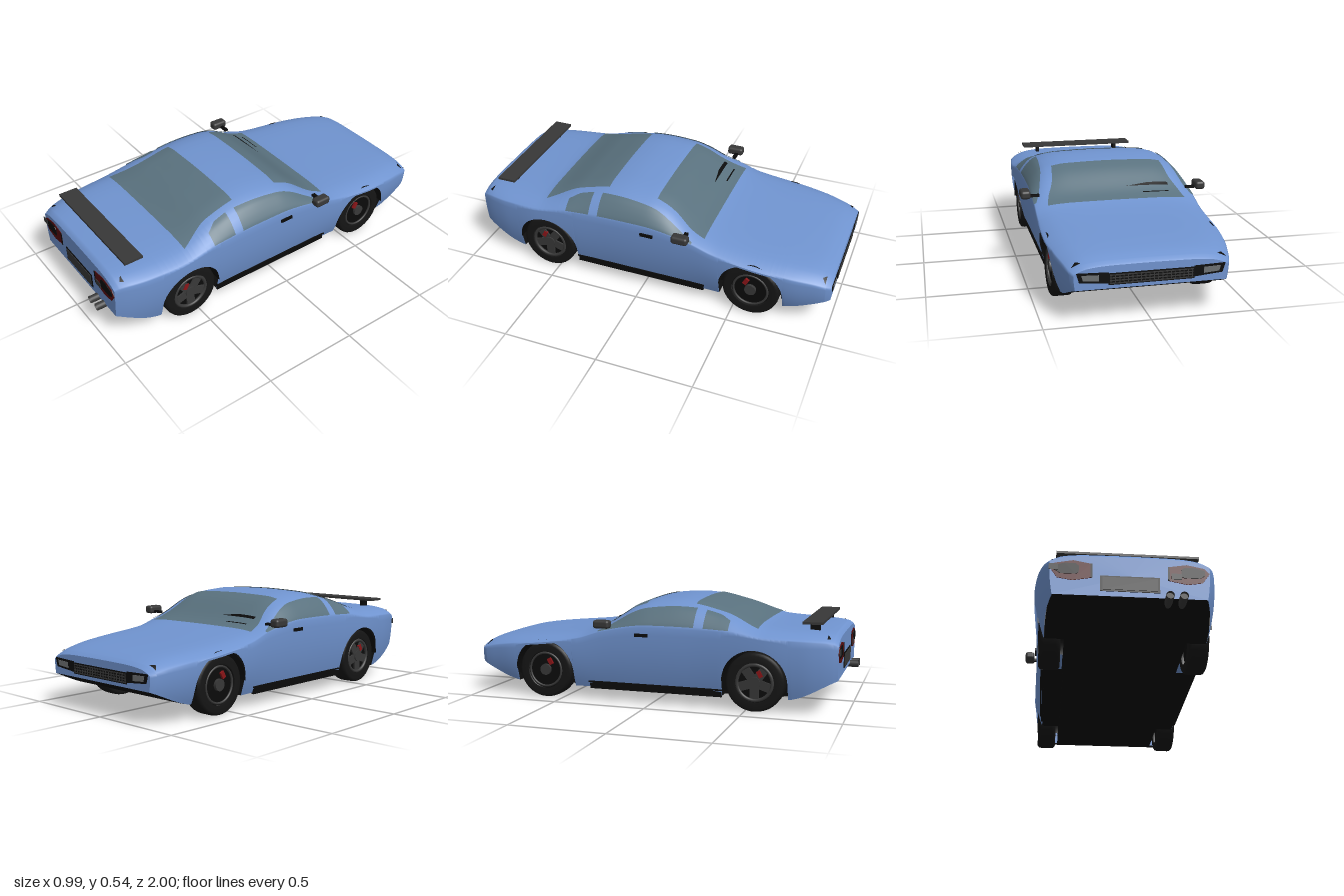
import * as THREE from 'three';
import { RoundedBoxGeometry } from 'three/addons/geometries/RoundedBoxGeometry.js';

const mat = (name, color) => new THREE.MeshStandardMaterial({ name, color, side: THREE.DoubleSide });

// Smooth interpolation through [t, value] pairs without overshoot
function curve(pts) {
  const n = pts.length, d = [], m = [];
  for (let i = 0; i < n - 1; i++) d.push((pts[i + 1][1] - pts[i][1]) / (pts[i + 1][0] - pts[i][0]));
  for (let i = 0; i < n; i++) {
    if (i === 0 || i === n - 1) m.push(d[i === 0 ? 0 : n - 2]);
    else m.push(d[i - 1] * d[i] <= 0 ? 0 : 2 * d[i - 1] * d[i] / (d[i - 1] + d[i]));
  }
  return (t) => {
    t = Math.min(Math.max(t, pts[0][0]), pts[n - 1][0]);
    let i = 0;
    while (i < n - 2 && t > pts[i + 1][0]) i++;
    const h = pts[i + 1][0] - pts[i][0], s = (t - pts[i][0]) / h, s2 = s * s, s3 = s2 * s;
    return (2 * s3 - 3 * s2 + 1) * pts[i][1] + (s3 - 2 * s2 + s) * h * m[i]
      + (3 * s2 - 2 * s3) * pts[i + 1][1] + (s3 - s2) * h * m[i + 1];
  };
}

// Surface through rows of [x, y, z] points
function loft(rows) {
  const c = rows[0].length, idx = [];
  for (let i = 0; i < rows.length - 1; i++) for (let j = 0; j < c - 1; j++) {
    const a = i * c + j, b = a + c;
    idx.push(a, b, a + 1, a + 1, b, b + 1);
  }
  const g = new THREE.BufferGeometry();
  g.setAttribute('position', new THREE.Float32BufferAttribute(rows.flat(2), 3));
  g.setIndex(idx);
  g.computeVertexNormals();
  return g;
}
const steps = (a, b, n) => Array.from({ length: n + 1 }, (_, i) => a + (b - a) * i / n);

// Body outline along z: roof line, half width, belt line, underside
const top = curve([[-1, .272], [-.985, .285], [-.93, .308], [-.85, .322], [-.4, .368], [-.29, .395], [-.1, .512],
  [-.02, .535], [.12, .545], [.2, .54], [.37, .5], [.6, .425], [.87, .41], [.935, .402], [.955, .383]]);
const width = curve([[-1, .355], [-.97, .375], [-.9, .395], [-.78, .42], [-.6, .435], [-.2, .43], [.2, .43],
  [.6, .44], [.78, .425], [.9, .395], [.955, .37]]);
const belt = curve([[-1, .24], [-.9, .265], [-.4, .33], [-.25, .375], [0, .405], [.4, .4], [.6, .375], [.9, .36], [.955, .345]]);
const base = curve([[-1, .17], [-.77, .08], [-.7, .07], [.7, .07], [.955, .175]]);

// Upper cross-section: fraction of half width against fraction of height above the belt
const PROFILE = [[0, 1], [.2, .99], [.4, .97], [.55, .95], [.68, .88], [.77, .79], [.84, .68], [.9, .5], [.95, .3], [.985, .12], [1, 0]];
const heightAt = curve(PROFILE);
const widthAt = curve(PROFILE.map(([x, f]) => [f, x]).reverse());
const topY = (x, z) => belt(z) + (top(z) - belt(z)) * heightAt(Math.abs(x) / width(z));
const sideX = (y, z) => width(z) * (1 - .11 * Math.pow(Math.max(0, (belt(z) - y) / (belt(z) - .07)), 2.2));

const AXLES = [.55, -.594], AXLE_Y = .15, ARCH = .167, NOSE = -.994, TAIL = .955;
const archAt = (z) => AXLES.find((c) => Math.abs(z - c) < ARCH);

function section(z) {
  const c = archAt(z), low = c === undefined ? base(z) : AXLE_Y + Math.sqrt(ARCH ** 2 - (z - c) ** 2);
  const half = PROFILE.map(([u]) => [u * width(z), topY(u * width(z), z), z]);
  for (const y of steps(belt(z), Math.min(low, belt(z) - .01), 9).slice(1)) half.push([sideX(y, z), y, z]);
  return [...half.slice(1).reverse().map(([x, y, q]) => [-x, y, q]), ...half];
}

export function createModel() {
  const car = new THREE.Group();
  car.name = 'car';
  const paint = mat('blue paint', 0x7094d0), glass = mat('tinted glass', 0x5a727f), black = mat('black trim', 0x0b0b0b);
  const grey = mat('dark grey', 0x383838), red = mat('dark red lamp', 0x560d0f), lens = mat('lens grey', 0x6d7072);
  const tyreMat = mat('tyre rubber', 0x151515), caliperMat = mat('brake red', 0x8a1518);
  const add = (name, geo, m, parent = car, x = 0, y = 0, z = 0) => {
    const mesh = new THREE.Mesh(geo, m);
    mesh.name = name;
    mesh.position.set(x, y, z);
    parent.add(mesh);
    return mesh;
  };
  const box = (name, m, w, h, d, x, y, z) => add(name, new THREE.BoxGeometry(w, h, d), m, car, x, y, z);

  // Painted shell with wheel arches
  const zs = steps(NOSE, TAIL, 72);
  zs.push(-.985, -.97, .935, .945);
  for (const c of AXLES) {
    zs.push(c - ARCH - .001, c + ARCH + .001);
    for (let k = 1; k < 24; k++) zs.push(c - (ARCH - .0005) * Math.cos(k * Math.PI / 24));
    zs.push(c - ARCH + .0005, c + ARCH - .0005);
  }
  zs.sort((a, b) => a - b);
  add('bodyShell', loft(zs.map(section)), paint);
  for (const [name, z, y] of [['nosePanel', NOSE, .22], ['tailPanel', TAIL, .28]]) {
    const row = section(z);
    row.push(row[0]);
    add(name, loft([row, row.map(() => [0, y, z])]), paint);
  }

  // Underbody: floor and central hull
  add('floor', loft(zs.map((z) => {
    const w = archAt(z) === undefined ? sideX(base(z), z) - .002 : .29;
    return [[-w, base(z), z], [w, base(z), z]];
  })), black);
  const hull = new THREE.Shape([[.945, .178], [.72, .08], [.66, .06], [-.72, .06], [-.985, .172], [-.96, .23],
    [-.75, .28], [.9, .31]].map((p) => new THREE.Vector2(...p)));
  add('underbody', new THREE.ExtrudeGeometry(hull, { depth: .57, bevelEnabled: false })
    .translate(0, 0, -.285).rotateY(-Math.PI / 2), black);

  // Glass and marks that follow the upper surface
  const topPatch = (name, m, z0, z1, left, right, lift = .004) => add(name, loft(steps(z0, z1, 24).map((z, i) =>
    steps(left(i / 24), right(i / 24), 28).map((x) => [x, topY(x, z) + lift, z]))), m);
  const shield = curve([[0, .365], [.25, .35], [.6, .315], [1, .3]]);
  topPatch('windscreen', glass, -.33, -.05, (t) => -shield(t), shield);
  const rearEdge = curve([[0, .3], [.5, .31], [1, .375]]);
  topPatch('rearWindow', glass, .22, .56, (t) => -rearEdge(t), rearEdge);
  topPatch('longWiper', black, -.237, -.22, () => -.3, (t) => -.07 - .12 * t, .009);
  topPatch('shortWiper', black, -.285, -.278, () => -.29, () => -.15, .009);

  const sideWindow = (name, s, z0, z1, hi) => add(name, loft(steps(z0, z1, 24).map((z) =>
    steps(.07, hi(z), 14).map((f) => [s * (width(z) * widthAt(f) + .003), belt(z) + f * (top(z) - belt(z)) + .003, z]))), glass);
  const frontTop = curve([[-.28, .25], [-.2, .5], [-.05, .7], [.24, .77]]);
  const quarterTop = curve([[.29, .78], [.36, .76], [.42, .62]]);

  // Wheel: tyre, rim, spokes and brake caliper, facing +x
  const tyreProfile = [[.1, -.05], [.135, -.052], [.147, -.044], [.15, -.03], [.15, .03], [.147, .044], [.135, .052], [.1, .05]]
    .map((p) => new THREE.Vector2(...p));
  function wheel(name, rear) {
    const g = new THREE.Group();
    g.name = name;
    add('tyre', new THREE.LatheGeometry(tyreProfile, 40).rotateZ(-Math.PI / 2), tyreMat, g);
    add('wheelDisc', new THREE.CylinderGeometry(.102, .102, .07, 32).rotateZ(Math.PI / 2), black, g);
    add('rimRing', new THREE.TorusGeometry(.09, rear ? .009 : .006, 8, 36).rotateY(Math.PI / 2), grey, g, .042);
    add('hub', new THREE.CylinderGeometry(.03, .03, .02, 20).rotateZ(Math.PI / 2), grey, g, .04);
    if (rear) for (let i = 0; i < 5; i++) {
      const spoke = add('spoke', new THREE.BoxGeometry(.012, .066, .046).translate(0, .055, 0), grey, g, .038);
      spoke.rotation.x = (i + .5) * Math.PI * 2 / 5;
    }
    const caliper = add('brakeCaliper', new THREE.BoxGeometry(.014, .036, .022), caliperMat, g, .04, .045, .026);
    caliper.rotation.x = -.5;
    return g;
  }

  // Parts on both sides
  for (const s of [-1, 1]) {
    const side = s > 0 ? 'left' : 'right';
    sideWindow(side + 'DoorWindow', s, -.28, .24, frontTop);
    sideWindow(side + 'QuarterWindow', s, .29, .42, quarterTop);
    AXLES.forEach((z, i) => {
      const w = wheel(side + (i ? 'FrontWheel' : 'RearWheel'), i === 0);
      w.position.set(s * .357, AXLE_Y, z);
      w.scale.x = s;
      car.add(w);
      add('wheelWell', new THREE.CylinderGeometry(ARCH, ARCH, .13, 32, 1, true, 0, Math.PI).rotateZ(Math.PI / 2),
        black, car, s * .352, AXLE_Y, z);
    });
    box(side + 'Sill', black, .012, .035, .72, s * .386, .08, .02);
    box(side + 'SillLine', black, .006, .008, .73, s * .397, .1, .02);
    box(side + 'DoorHandle', black, .014, .016, .07, s * .431, .365, -.037);
    add(side + 'Mirror', new RoundedBoxGeometry(.052, .043, .088, 3, .014), grey, car, s * .469, .42, -.235);
    box(side + 'MirrorStalk', black, .06, .012, .02, s * .425, .41, -.245);
    box(side + 'WingPost', black, .017, .05, .05, s * .25, .424, .825);
    for (const [z0, z1] of [[-.962, -.945], [.9, .916]]) topPatch('cornerVent', black, z0, z1,
      (t) => s * (z0 < 0 ? .365 - .02 * t : .335 + .02 * t), (t) => s * (z0 < 0 ? .32 + .02 * t : .37 - .01 * t));
  }
  box('rearWing', grey, .68, .012, .1, 0, .451, .822);

  // Flat plates on the tail and nose
  const plate = (name, m, pts, z, s = 1) => add(name, new THREE.ExtrudeGeometry(
    new THREE.Shape(pts.map(([x, y]) => new THREE.Vector2(s * x, y))), { depth: .003, bevelEnabled: false }), m, car, 0, 0, z);
  const rect = (x0, x1, y0, y1) => [[x0, y0], [x1, y0], [x1, y1], [x0, y1]];
  for (const s of [-1, 1]) {
    plate('tailLamp', red, [[.178, .267], [.265, .25], [.335, .262], [.368, .312], [.345, .338], [.262, .355], [.178, .34]], TAIL, s);
    plate('tailLampEdge', black, [[.174, .267], [.182, .267], [.182, .34], [.174, .34]], TAIL + .002, s);
    plate('tailLampInset', black, [[.236, .29], [.25, .283], [.32, .283], [.347, .3], [.345, .325], [.3, .338], [.25, .338], [.236, .325]], TAIL + .003, s);
    plate('headlampFrame', black, [[.2, .193], [.335, .205], [.348, .25], [.2, .245]], NOSE - .003, s);
    plate('headlampLens', lens, [[.245, .207], [.318, .213], [.325, .239], [.245, .236]], NOSE - .005, s);
  }
  plate('rightReverseLamp', grey, rect(-.373, -.33, .3, .33), TAIL + .006);
  plate('leftReverseLamp', grey, rect(.19, .237, .272, .303), TAIL + .006);
  plate('plateFrame', black, rect(-.138, .136, .2, .28), TAIL);
  plate('plate', grey, rect(-.128, .126, .208, .272), TAIL + .003);
  plate('grille', black, rect(-.2, .2, .185, .24), NOSE - .003);
  for (let i = 0; i < 4; i++) plate('grilleBar', grey, rect(-.195, .195, .19 + i * .013, .195 + i * .013), NOSE - .005);
  for (let i = 0; i < 20; i++) plate('grilleRib', grey, rect(-.192 + i * .02, -.188 + i * .02, .19, .234), NOSE - .005);

  // Twin exhaust
  for (const x of [.176, .24]) {
    add('exhaustPipe', new THREE.CylinderGeometry(.019, .019, .15, 20, 1, true).rotateX(Math.PI / 2), grey, car, x, .17, .925);
    add('exhaustBore', new THREE.CircleGeometry(.018, 20), black, car, x, .17, .985);
  }
  return car;
}
